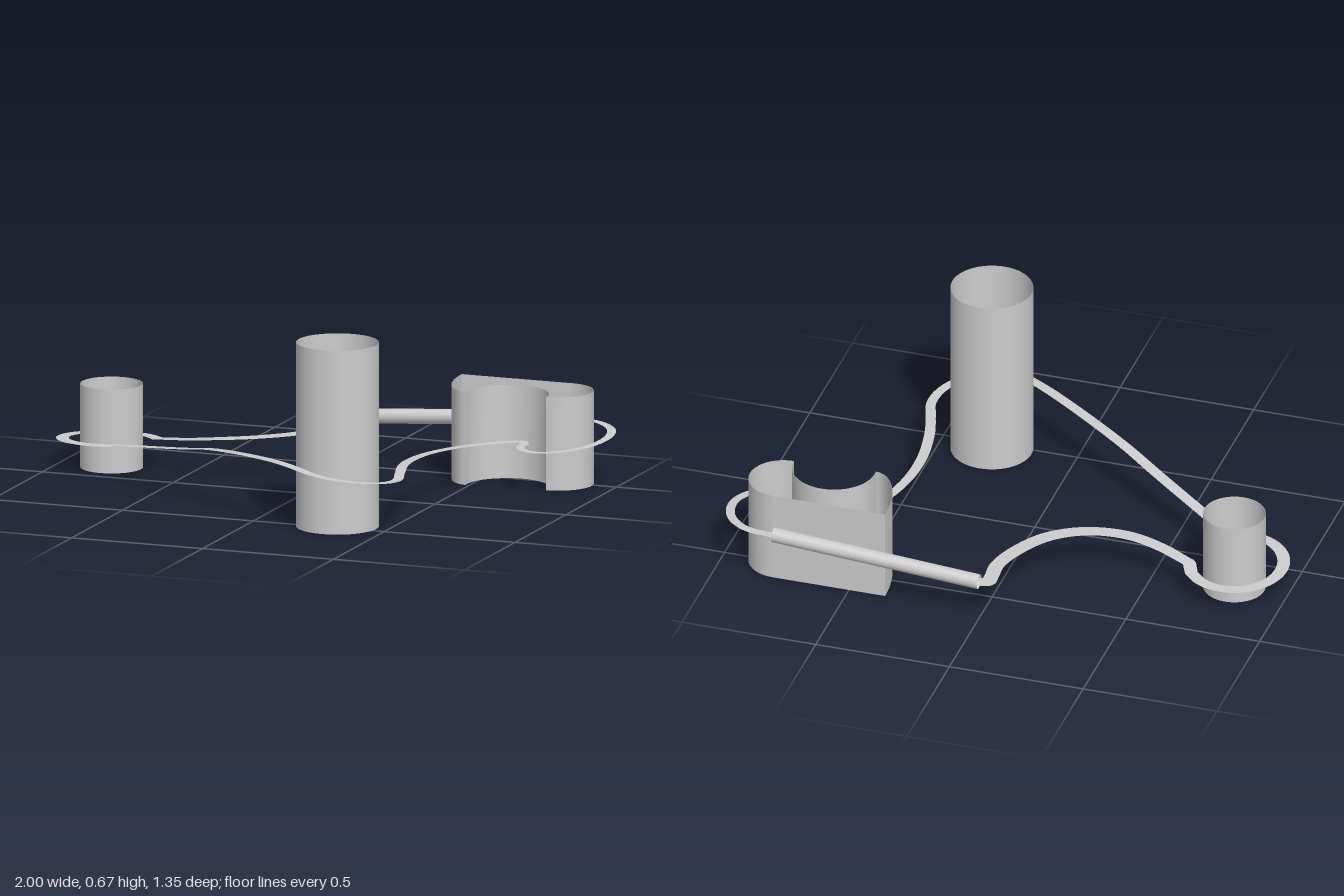
import * as THREE from 'three';

const material = new THREE.MeshStandardMaterial({ color: 0xcccccc, side: THREE.DoubleSide });

function addMesh(group, geometry, name) {
  const mesh = new THREE.Mesh(geometry, material);
  mesh.name = name;
  group.add(mesh);
  return mesh;
}

// Sheet joining two equally long rows of points
function sheet(rowA, rowB) {
  const pos = [], index = [];
  rowA.forEach((a, i) => {
    pos.push(...a.toArray(), ...rowB[i].toArray());
    if (i) {
      const k = 2 * i;
      index.push(k - 2, k - 1, k, k, k - 1, k + 1);
    }
  });
  const g = new THREE.BufferGeometry();
  g.setAttribute('position', new THREE.Float32BufferAttribute(pos, 3));
  g.setIndex(index);
  g.computeVertexNormals();
  return g;
}

// Flat ribbon: each run is a smooth curve of [x, y, z, half width]; runs meet at corners
function ribbon(runs) {
  const pts = [], widths = [];
  runs.forEach((run, r) => {
    const curve = new THREE.CatmullRomCurve3(run.map(([x, y, z]) => new THREE.Vector3(x, y, z)));
    const steps = (run.length - 1) * 6;
    for (let i = r ? 1 : 0; i <= steps; i++) {
      const t = i / steps, f = t * (run.length - 1);
      const k = Math.min(Math.floor(f), run.length - 2);
      pts.push(curve.getPoint(t));
      widths.push(THREE.MathUtils.lerp(run[k][3], run[k + 1][3], f - k));
    }
  });
  const left = [], right = [];
  pts.forEach((p, i) => {
    const a = pts[Math.max(i - 1, 0)], b = pts[Math.min(i + 1, pts.length - 1)];
    const side = new THREE.Vector3(b.z - a.z, 0, a.x - b.x).normalize().multiplyScalar(widths[i]);
    left.push(p.clone().add(side));
    right.push(p.clone().sub(side));
  });
  return sheet(left, right);
}

// Open upright tube
function tower(group, name, x, z, radius, height) {
  const mesh = addMesh(group, new THREE.CylinderGeometry(radius, radius, height, 48, 1, true), name);
  mesh.position.set(x, height / 2, z);
}

// Elliptic arc in plan, angles in degrees from +x towards +z
function arc(cx, cz, rx, rz, from, to, n = 20) {
  return Array.from({ length: n + 1 }, (_, i) => {
    const a = THREE.MathUtils.degToRad(from + (to - from) * i / n);
    return [cx + rx * Math.cos(a), cz + rz * Math.sin(a)];
  });
}

export function createModel() {
  const model = new THREE.Group();

  // Round towers
  tower(model, 'tallTower', 0.31, 0.47, 0.148, 0.67);
  tower(model, 'smallTower', -0.8, -0.167, 0.112, 0.305);

  // Notched wall: flat back, round lobe, concave front, curved far side
  const wall = new THREE.Group();
  wall.name = 'notchedTower';
  const faces = [
    [[0.365, -0.61], [0.785, -0.61]],
    arc(0.785, -0.485, 0.125, 0.125, -90, 90),
    arc(0.635, -0.36, 0.15, 0.15, 0, -180, 28),
    [[0.485, -0.36], [0.485, -0.34]],
    arc(0.485, -0.61, 0.12, 0.27, 90, 180, 16),
  ];
  for (const face of faces) {
    const row = y => face.map(([x, z]) => new THREE.Vector3(x, y, z));
    addMesh(wall, sheet(row(0), row(0.34)), 'wallFace');
  }
  model.add(wall);

  // Path around the small tower, tilted up towards the front
  const smallLoop = arc(-0.805, -0.167, 0.171, 0.171, -40, -291, 12)
    .map(([x, z]) => [x, 0.102 + 0.07 * (z + 0.167), z, 0.023]);

  const backSweep = [
    [0, 0.15, -0.648, 0.026], [-0.028, 0.15, -0.642, 0.028], [-0.03, 0.15, -0.6, 0.026],
    [-0.026, 0.15, -0.52, 0.027], [-0.06, 0.151, -0.41, 0.029], [-0.14, 0.15, -0.28, 0.03],
    [-0.26, 0.145, -0.195, 0.029], [-0.4, 0.135, -0.163, 0.028], [-0.52, 0.121, -0.178, 0.026],
    [-0.65, 0.104, -0.226, 0.024],
  ];
  const straight = [
    [-0.73, 0.116, -0.015, 0.022], [-0.4, 0.173, 0.202, 0.022], [-0.22, 0.207, 0.32, 0.021],
    [0.1, 0.23, 0.531, 0.02], [0.28, 0.222, 0.65, 0.018],
  ];
  const tallLoop = [
    [0.28, 0.222, 0.65, 0.018], [0.35, 0.21, 0.65, 0.018], [0.44, 0.196, 0.609, 0.018],
    [0.507, 0.182, 0.52, 0.018], [0.522, 0.176, 0.43, 0.018], [0.497, 0.178, 0.34, 0.018],
    [0.46, 0.18, 0.21, 0.019], [0.44, 0.172, 0.05, 0.019], [0.452, 0.165, -0.1, 0.018],
    [0.5, 0.158, -0.25, 0.018], [0.57, 0.154, -0.36, 0.017], [0.645, 0.153, -0.432, 0.016],
  ];
  const notchLoop = [
    [0.645, 0.153, -0.432, 0.016], [0.672, 0.154, -0.428, 0.016], [0.688, 0.154, -0.39, 0.016],
    [0.694, 0.155, -0.34, 0.015], [0.727, 0.156, -0.286, 0.015], [0.79, 0.157, -0.262, 0.015],
    [0.88, 0.164, -0.288, 0.016], [0.953, 0.175, -0.36, 0.016], [0.981, 0.187, -0.455, 0.016],
    [0.956, 0.195, -0.56, 0.016], [0.88, 0.201, -0.633, 0.016], [0.77, 0.205, -0.656, 0.016],
  ];
  addMesh(model, ribbon([
    backSweep,
    [backSweep.at(-1), smallLoop[0]],
    smallLoop,
    [smallLoop.at(-1), straight[0]],
    straight, tallLoop, notchLoop,
  ]), 'pathRibbon');

  // Tilted hollow tunnel closing the path
  const tunnelLine = new THREE.LineCurve3(
    new THREE.Vector3(0, 0.151, -0.651), new THREE.Vector3(0.77, 0.205, -0.651));
  addMesh(model, new THREE.TubeGeometry(tunnelLine, 1, 0.027, 24), 'tunnelTube');

  return model;
}
